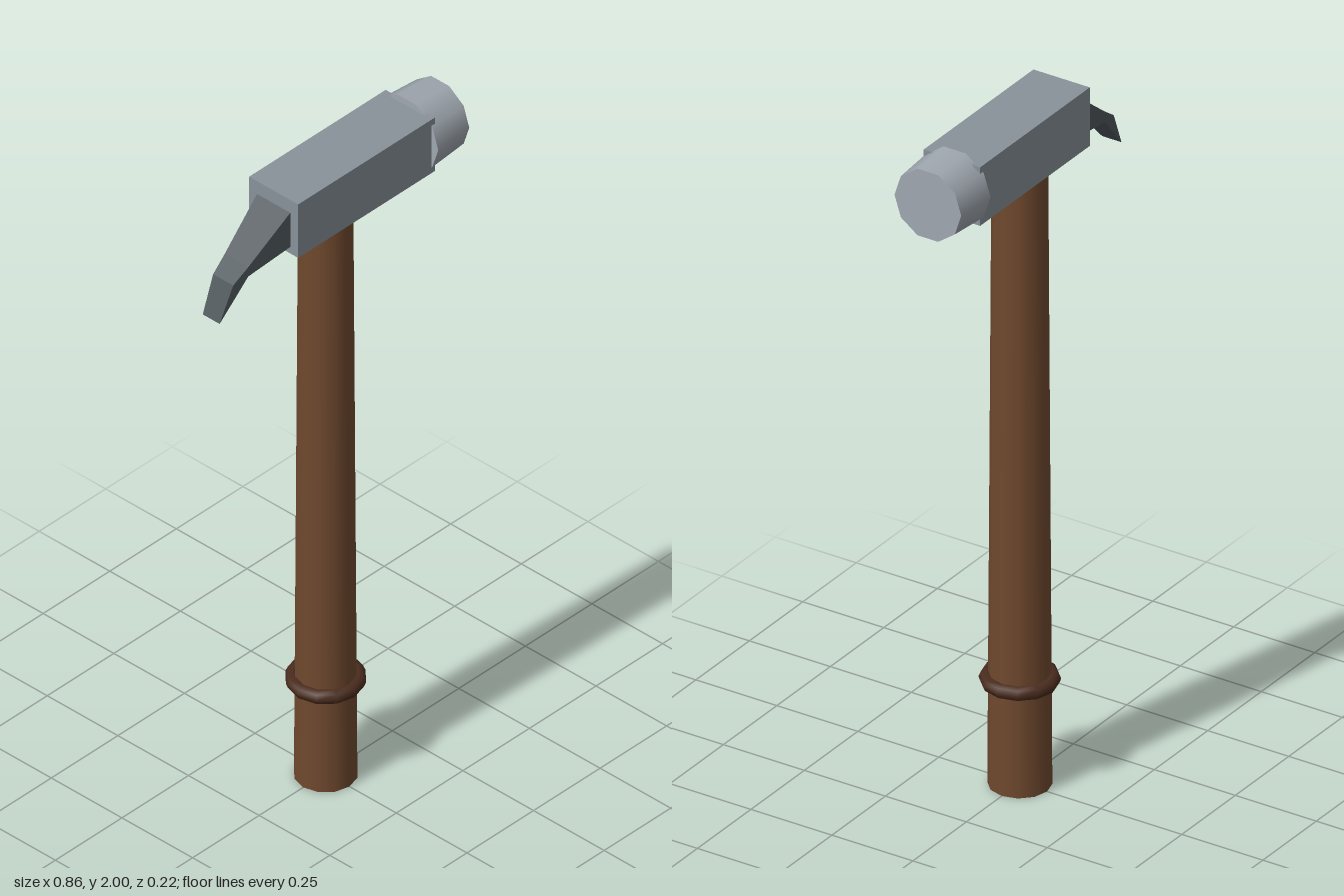
import * as THREE from 'three';

const material = (color, flatShading = false) =>
  new THREE.MeshStandardMaterial({ color, flatShading });

function part(name, geometry, mat, x = 0, y = 0, z = 0) {
  const mesh = new THREE.Mesh(geometry, mat);
  mesh.name = name;
  mesh.position.set(x, y, z);
  return mesh;
}

// Bent wedge: side outline extruded to unit half-width, then narrowed toward the tip
function clawGeometry() {
  const outline = [
    [-0.19, 1.944], [-0.335, 1.832], [-0.385, 1.797],
    [-0.43, 1.695], [-0.335, 1.802], [-0.19, 1.831],
  ].map(([x, y]) => new THREE.Vector2(x, y));
  const geometry = new THREE.ExtrudeGeometry(new THREE.Shape(outline), {
    depth: 2, bevelEnabled: false,
  });
  geometry.translate(0, 0, -1);
  const pos = geometry.attributes.position;
  for (let i = 0; i < pos.count; i++) {
    const t = (-0.195 - pos.getX(i)) / 0.235;
    pos.setZ(i, pos.getZ(i) * THREE.MathUtils.lerp(0.059, 0.03, t));
  }
  geometry.computeVertexNormals();
  return geometry;
}

export function createModel() {
  const model = new THREE.Group();
  model.name = 'hammer';

  // Wooden handle with a gentle taper, ending inside the head
  model.add(part('handle', new THREE.CylinderGeometry(0.073, 0.084, 1.88, 12),
    material(0x70492e), 0, 0.94, 0));

  // Raised ring above the grip
  const ring = new THREE.TorusGeometry(0.087, 0.02, 8, 12);
  ring.rotateX(Math.PI / 2);
  model.add(part('gripRing', ring, material(0x4a2c1e), 0, 0.31, 0));

  // Steel head
  const head = new THREE.Group();
  head.name = 'head';
  head.add(part('headBlock', new THREE.BoxGeometry(0.513, 0.172, 0.174),
    material(0x889299, true), 0.061, 1.895, 0));

  // Ten-sided striking face, flaring slightly toward the block
  const face = new THREE.CylinderGeometry(0.103, 0.111, 0.125, 10);
  face.rotateZ(-Math.PI / 2);
  head.add(part('strikingFace', face, material(0xa0a8b0), 0.3675, 1.895, 0));

  // Bent claw at the rear of the head
  head.add(part('claw', clawGeometry(), material(0x50585c, true)));
  model.add(head);

  return model;
}
